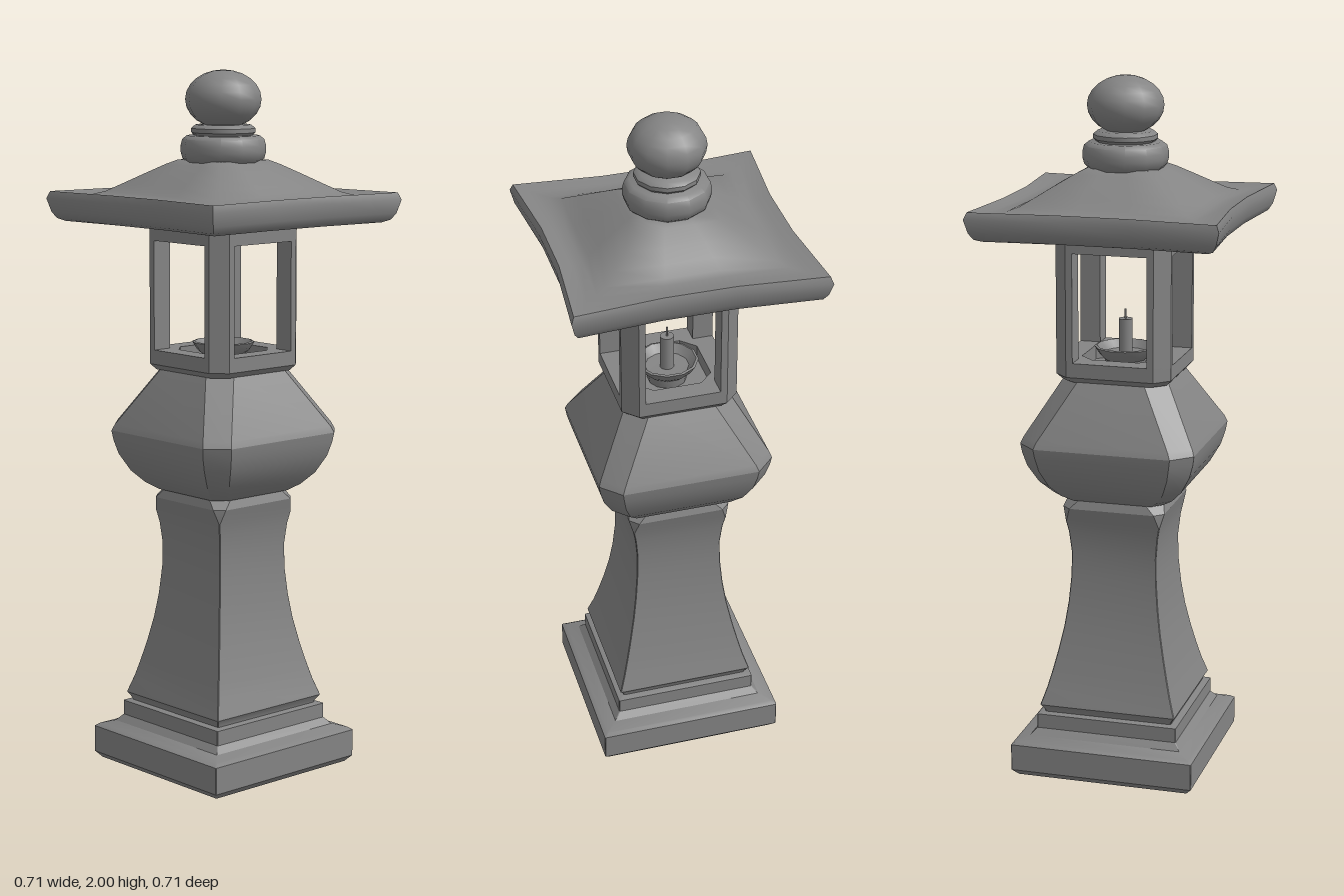
import * as THREE from 'three';
import { toCreasedNormals } from 'three/addons/utils/BufferGeometryUtils.js';

const stone = new THREE.MeshStandardMaterial({ color: 0x848484 });

// Square outline with cut corners: one side's points, later turned four ways
const cut = (y, half, c = 0.002) => ({ y, side: [[half - c, half], [c - half, half]] });
// Square outline with drawn-out corners and a straight middle stretch
const flared = (y, corner, mid, flat = 0.1) => ({ y, side: [[corner, corner], [flat, mid], [-flat, mid]] });

// All points of an outline, its side repeated round four quarter turns
function outline({ side }) {
  const all = [];
  let pts = side;
  for (let q = 0; q < 4; q++) {
    all.push(...pts);
    pts = pts.map(([x, z]) => [-z, x]);
  }
  return all;
}

// Skin a stack of four-fold symmetric outlines and close both ends
function loft(rings, crease = 0.5) {
  const pos = [], index = [];
  const n = rings[0].side.length * 4;
  for (const ring of rings) {
    for (const [x, z] of outline(ring)) pos.push(x, ring.y, z);
  }
  const last = (rings.length - 1) * n;
  const bottom = pos.length / 3;
  pos.push(0, rings[0].y, 0, 0, rings[rings.length - 1].y, 0);
  for (let j = 0; j < n; j++) {
    const k = (j + 1) % n;
    for (let r = 0; r < last; r += n) {
      index.push(r + j, r + n + j, r + n + k, r + j, r + n + k, r + k);
    }
    index.push(bottom, j, k, bottom + 1, last + k, last + j);
  }
  const g = new THREE.BufferGeometry();
  g.setAttribute('position', new THREE.Float32BufferAttribute(pos, 3));
  g.setIndex(index);
  return toCreasedNormals(g, crease);
}

function lathe(profile, segments, crease) {
  const pts = profile.map(([r, y]) => new THREE.Vector2(r, y));
  return toCreasedNormals(new THREE.LatheGeometry(pts, segments, Math.PI / segments), crease);
}

// Upright prism over a floor-plan polygon, with an optional hole
function prism(points, y0, y1, hole) {
  const vectors = list => list.map(p => new THREE.Vector2(...p));
  const shape = new THREE.Shape(vectors(points));
  if (hole) shape.holes.push(new THREE.Path(vectors(hole)));
  const g = new THREE.ExtrudeGeometry(shape, { depth: y1 - y0, bevelEnabled: false });
  return g.rotateX(-Math.PI / 2).translate(0, y0, 0);
}

export function createModel() {
  const model = new THREE.Group();
  model.name = 'stoneLantern';
  const add = (name, geometry, parent = model) => {
    const mesh = new THREE.Mesh(geometry, stone);
    mesh.name = name;
    parent.add(mesh);
    return mesh;
  };

  // Stepped plinth
  add('plinth', loft([
    cut(0, 0.252), cut(0.018, 0.268), cut(0.095, 0.268), cut(0.103, 0.257),
    cut(0.113, 0.224), cut(0.132, 0.207), cut(0.174, 0.207), cut(0.177, 0.2),
  ]));

  // Waisted pillar, its corners cut away at the head
  add('pillar', loft([
    cut(0.174, 0.187), cut(0.183, 0.189), cut(0.2, 0.2), cut(0.207, 0.198),
    cut(0.25, 0.184), cut(0.3, 0.171), cut(0.36, 0.157), cut(0.43, 0.143),
    cut(0.5, 0.133), cut(0.58, 0.126), cut(0.65, 0.125), cut(0.71, 0.131),
    cut(0.745, 0.138), cut(0.785, 0.149, 0.025), cut(0.815, 0.139, 0.045),
  ]));

  // Swollen platform under the light chamber
  add('platform', loft([
    cut(0.81, 0.145, 0.03), cut(0.83, 0.175, 0.036), cut(0.865, 0.208, 0.043),
    cut(0.915, 0.236, 0.051), cut(0.955, 0.248, 0.055), cut(0.982, 0.252, 0.055),
    cut(1.0, 0.245, 0.055), cut(1.168, 0.147, 0.055),
  ], 0.4));

  // Open light chamber with its corners cut off
  const chamber = new THREE.Group();
  chamber.name = 'lightChamber';
  model.add(chamber);
  const plan = outline(cut(0, 0.166, 0.04));
  add('chamberSill', prism(plan, 1.174, 1.215, outline(cut(0, 0.108, 0.04))), chamber);
  add('chamberFloor', loft([cut(1.158, 0.152, 0.037), cut(1.174, 0.166, 0.04)]), chamber);
  add('topSlab', prism(plan, 1.525, 1.58), chamber);
  const postPlan = [[0.107, 0.107], [0.166, 0.107], [0.166, 0.126], [0.126, 0.166], [0.107, 0.166]];
  for (let i = 0; i < 4; i++) {
    add('cornerPost', prism(postPlan, 1.21, 1.53), chamber).rotation.y = i * Math.PI / 2;
  }

  // Candle on its saucer
  const candle = new THREE.Group();
  candle.name = 'candle';
  model.add(candle);
  add('saucer', lathe([
    [0, 1.173], [0.055, 1.173], [0.06, 1.2], [0.074, 1.212], [0.089, 1.236],
    [0.082, 1.238], [0.062, 1.216], [0, 1.212],
  ], 12, 0.6), candle);
  add('candleStick', new THREE.CylinderGeometry(0.02, 0.02, 0.105, 12).translate(0, 1.2625, 0), candle);
  add('wick', new THREE.CylinderGeometry(0.003, 0.003, 0.03, 6).translate(0, 1.328, 0), candle);

  // Roof: flat soffit, rounded eave, softly domed top with drawn-out corners
  add('roof', loft([
    flared(1.575, 0.15, 0.15), flared(1.576, 0.315, 0.3), flared(1.584, 0.333, 0.315),
    flared(1.602, 0.344, 0.323), flared(1.64, 0.354, 0.331), flared(1.66, 0.346, 0.324),
    flared(1.652, 0.3, 0.287), flared(1.652, 0.262, 0.258, 0.085), flared(1.661, 0.235, 0.238, 0.075),
    flared(1.683, 0.2, 0.205, 0.065), flared(1.71, 0.158, 0.163, 0.055),
    flared(1.737, 0.115, 0.116, 0.04), flared(1.75, 0.09, 0.09, 0.035),
  ], 0.95));

  // Finial: collar, neck ring and ball
  const finial = new THREE.Group();
  finial.name = 'finial';
  model.add(finial);
  add('collar', lathe([
    [0, 1.73], [0.102, 1.742], [0.115, 1.754], [0.12, 1.772], [0.12, 1.79],
    [0.115, 1.808], [0.102, 1.818], [0, 1.818],
  ], 12, 0.7), finial);
  add('neckRing', lathe([
    [0, 1.81], [0.076, 1.812], [0.09, 1.826], [0.09, 1.838], [0.078, 1.848], [0, 1.852],
  ], 12, 0.7), finial);
  const ball = add('ball', new THREE.SphereGeometry(1, 12, 12, Math.PI / 12), finial);
  ball.scale.set(0.107, 0.082, 0.107);
  ball.position.y = 1.918;
  return model;
}
